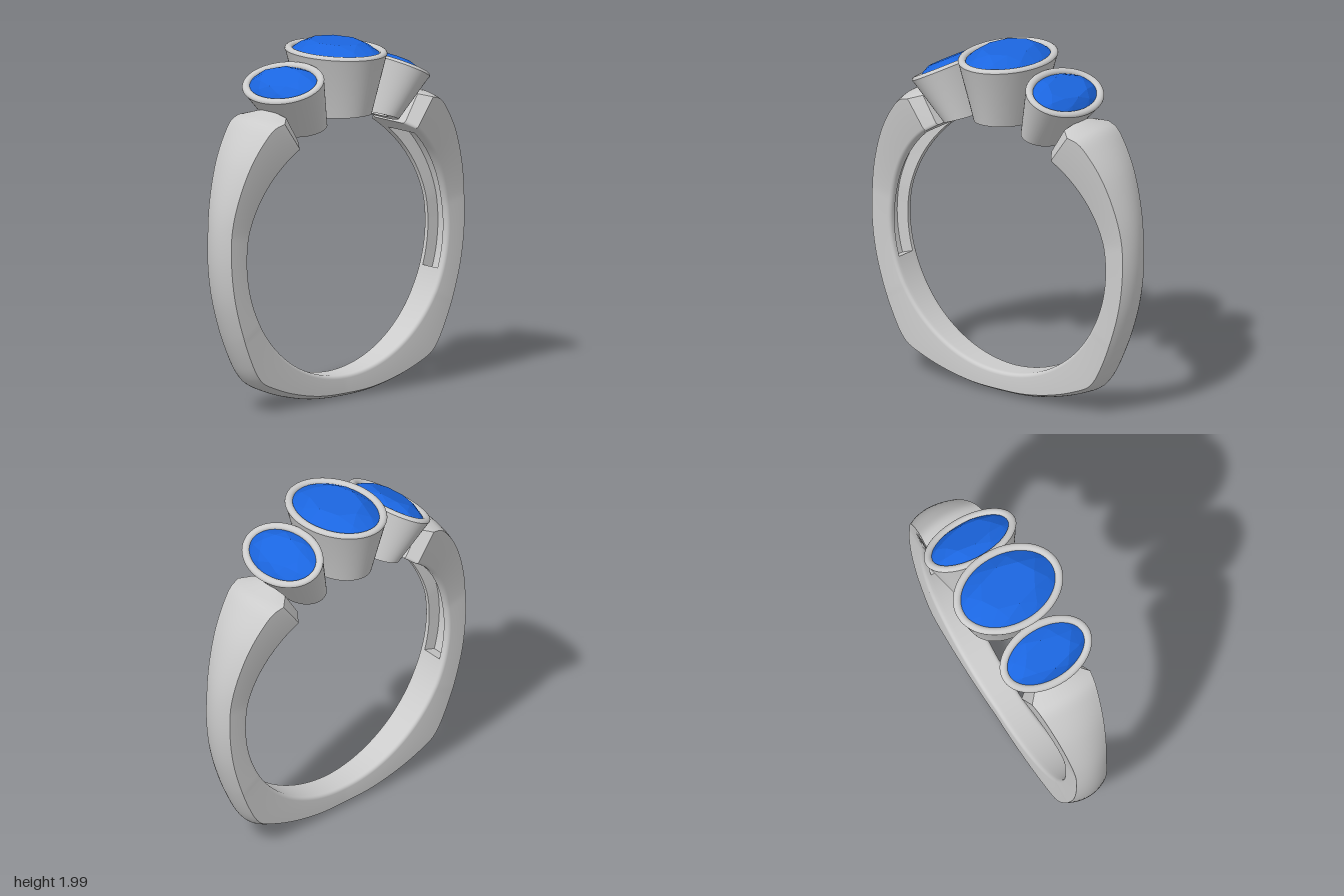
import * as THREE from 'three';
import { toCreasedNormals } from 'three/addons/utils/BufferGeometryUtils.js';
import { ConvexGeometry } from 'three/addons/geometries/ConvexGeometry.js';

const CY = 0.875, RI = 0.735; // finger hole centre height and radius
const rad = THREE.MathUtils.degToRad;
const metal = new THREE.MeshStandardMaterial({ color: 0xcccccc });
const gemMaterial = new THREE.MeshStandardMaterial({ color: 0x1b66e0, flatShading: true });

// Skins a list of closed rings of points, keeping hard edges sharp
function loft(rings, closed) {
  const n = rings[0].length, index = [];
  const last = closed ? rings.length : rings.length - 1;
  for (let i = 0; i < last; i++) {
    const k = (i + 1) % rings.length;
    for (let j = 0; j < n; j++) {
      const m = (j + 1) % n;
      const a = i * n + j, b = k * n + j, c = k * n + m, d = i * n + m;
      index.push(a, b, d, b, c, d);
    }
  }
  let geo = new THREE.BufferGeometry().setFromPoints(rings.flat());
  geo.setIndex(index);
  geo.scale(10, 10, 10); // keeps small details apart while creasing
  geo = toCreasedNormals(geo, rad(32));
  geo.scale(0.1, 0.1, 0.1);
  return geo;
}

function addMesh(parent, name, geo, material) {
  const mesh = new THREE.Mesh(geo, material);
  mesh.name = name;
  parent.add(mesh);
}

// Half width of the band by elevation around the finger hole
function halfWidth(e) {
  if (e < rad(-30)) return THREE.MathUtils.mapLinear(e, -Math.PI / 2, rad(-30), 0.08, 0.097);
  const t = Math.max(0, (e - rad(10)) / rad(46));
  return 0.098 + 0.095 * t ** 1.3;
}

// Cross-section of the band: domed outside, rounded inner edges, optional inner channel
function section({ x, y, ro, w, groove }) {
  const g = groove ? 0.07 : 0, prof = [];
  for (let i = -5; i <= 5; i++) prof.push([ro - 0.028 * (i / 5) ** 2, (i / 5) * w]);
  const half = [];
  for (let i = 0; i <= 4; i++) {
    const a = (i / 4) * Math.PI / 2;
    half.push([RI + 0.02 * (1 - Math.sin(a)), w - 0.02 * (1 - Math.cos(a))]);
  }
  half.push([RI, 0.62 * w], [RI + g, 0.58 * w]);
  prof.push(...half, ...half.map(([r, z]) => [r, -z]).reverse());
  return prof.map(([r, z]) => new THREE.Vector3(x * r, CY + y * r, z));
}

function bandGeometry() {
  // Right half of the outer outline, from the bottom up to the shoulder
  const right = [[0.2, 0.02], [0.4, 0.062], [0.55, 0.115], [0.64, 0.16], [0.685, 0.21], [0.73, 0.29],
    [0.8, 0.455], [0.865, 0.68], [0.89, 0.92], [0.87, 1.16], [0.79, 1.41], [0.7, 1.56], [0.63, 1.635], [0.565, 1.658]];
  const outline = [...right.map(([x, y]) => [-x, y]).reverse(), [0, 0.01], ...right];
  const curve = new THREE.CatmullRomCurve3(outline.map(([x, y]) => new THREE.Vector3(x, y, 0)), false, 'centripetal');
  const stations = [];
  for (const p of curve.getSpacedPoints(200)) {
    const dy = p.y - CY, ro = Math.hypot(p.x, dy), e = Math.atan2(dy, Math.abs(p.x));
    const s = { x: p.x / ro, y: dy / ro, ro, w: halfWidth(e), groove: e > rad(-18) && e < rad(49) };
    const prev = stations.at(-1);
    if (prev && prev.groove !== s.groove) stations.push({ ...prev, groove: s.groove });
    stations.push(s);
  }
  // Bevelled ends tucked against the side settings
  const tip = (side) => ({ x: side * Math.cos(rad(58)), y: Math.sin(rad(58)), ro: 0.945, w: 0.13, groove: false });
  const rings = [tip(-1), ...stations, tip(1)].map(section);
  const cap = (ring) => {
    const c = ring.reduce((s, p) => s.add(p), new THREE.Vector3()).divideScalar(ring.length);
    return ring.map(() => c.clone());
  };
  return loft([cap(rings[0]), ...rings, cap(rings.at(-1))], false);
}

// One oval setting: tapered cup with rounded lip, its foot cut to the finger hole
function bezelGeometry({ a, b, h, footA, footB }, matrix) {
  const profile = [[footA, footB, -h], [a - 0.006, b - 0.006, -0.032]];
  for (let i = 0; i <= 8; i++) {
    const t = (i / 8) * Math.PI;
    const inset = 0.022 * (1 - Math.cos(t));
    profile.push([a - inset, b - inset, -0.018 + 0.018 * Math.sin(t)]);
  }
  profile.push([a - 0.044, b - 0.044, -0.04], [footA * 0.62, footB * 0.62, -h + 0.06], [footA * 0.6, footB * 0.6, -h]);
  const rings = profile.map(([rx, rz, y], k) => {
    const ring = [];
    for (let j = 0; j < 64; j++) {
      const t = (j / 64) * Math.PI * 2;
      const p = new THREE.Vector3(rx * Math.cos(t), y, rz * Math.sin(t)).applyMatrix4(matrix);
      if (k === 0 || k === profile.length - 1) {
        const s = RI / Math.hypot(p.x, p.y - CY);
        p.set(p.x * s, CY + (p.y - CY) * s, p.z);
      }
      ring.push(p);
    }
    return ring;
  });
  return loft(rings, true);
}

// Faceted oval stone
function gemGeometry({ a, b, rise }, matrix) {
  const points = [];
  const tier = (n, scale, y, turn) => {
    for (let i = 0; i < n; i++) {
      const t = ((i + turn) / n) * Math.PI * 2;
      points.push(new THREE.Vector3((a - 0.04) * scale * Math.cos(t), y, (b - 0.04) * scale * Math.sin(t)));
    }
  };
  tier(32, 1, -0.02, 0);
  tier(8, 0.83, rise * 0.3, 0.5);
  tier(8, 0.6, rise, 0);
  tier(8, 0.55, -0.1, 0.5);
  points.push(new THREE.Vector3(0, -0.16, 0));
  return new ConvexGeometry(points).applyMatrix4(matrix);
}

export function createModel() {
  const ring = new THREE.Group();
  ring.name = 'ring';
  addMesh(ring, 'band', bandGeometry(), metal);

  const centre = { a: 0.245, b: 0.322, h: 0.35, footA: 0.155, footB: 0.235, rise: 0.04 };
  const side = { a: 0.187, b: 0.28, h: 0.28, footA: 0.112, footB: 0.19, rise: 0.027 };
  const settings = [
    ['centre', centre, 0, 1.96, 0],
    ['left', side, 0.398, 1.828, -27],
    ['right', side, -0.398, 1.828, 27],
  ];
  for (const [name, size, x, y, tilt] of settings) {
    const matrix = new THREE.Matrix4().makeRotationZ(rad(tilt)).setPosition(x, y, 0);
    const group = new THREE.Group();
    group.name = name + 'Setting';
    addMesh(group, name + 'Bezel', bezelGeometry(size, matrix), metal);
    addMesh(group, name + 'Gem', gemGeometry(size, matrix), gemMaterial);
    ring.add(group);
  }
  return ring;
}
